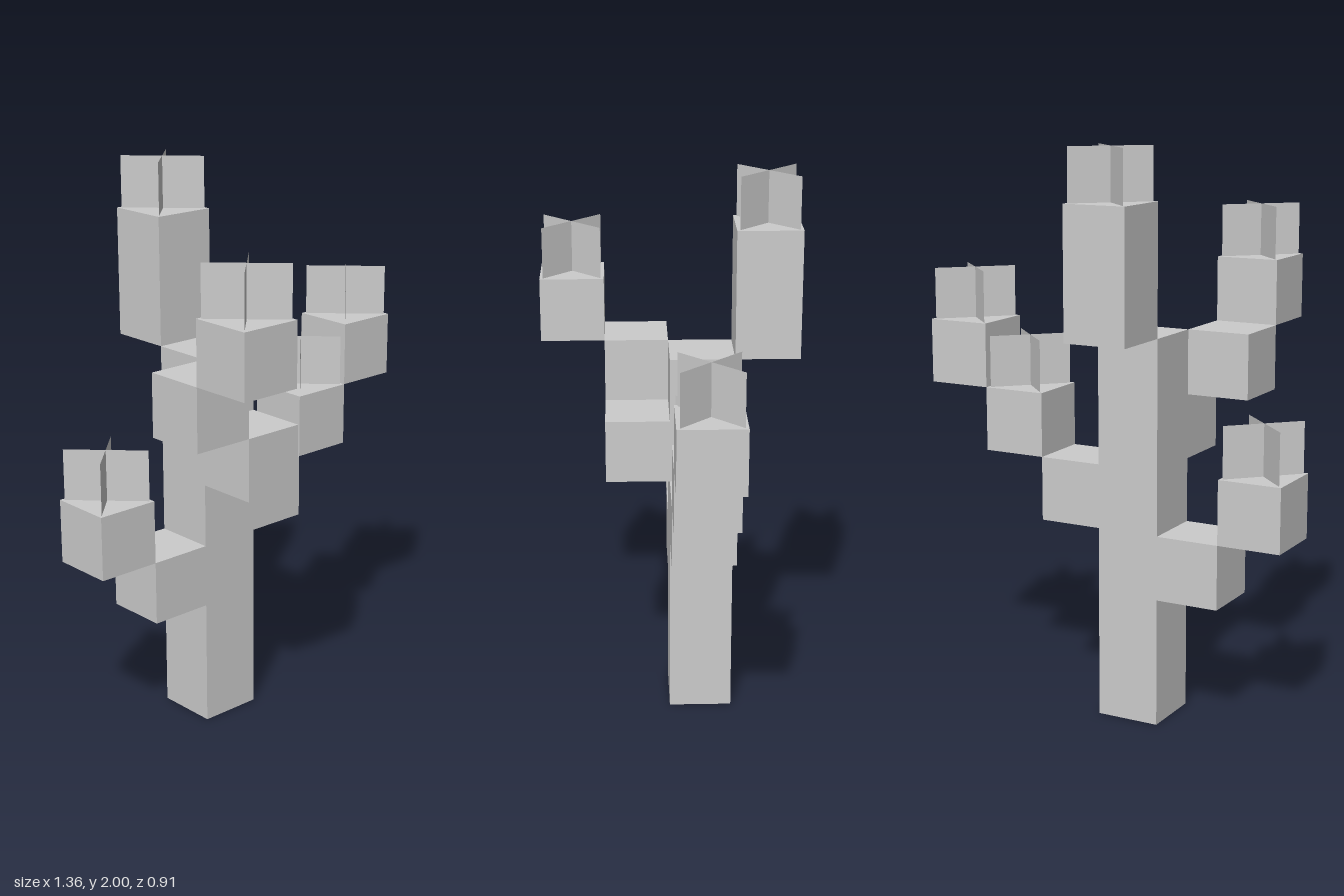
import * as THREE from 'three';

// Edge of one grid cell; the whole plant is 8.8 cells tall
const U = 2 / 8.8;

export function createModel() {
  const plant = new THREE.Group();
  plant.name = 'branchingPlant';

  // Double-sided: the trunk is hollow underneath and the blossoms are thin sheets
  const grey = new THREE.MeshStandardMaterial({ color: 0xcccccc, side: THREE.DoubleSide });
  grey.name = 'paleGrey';

  // Square column standing on grid cell (i, j, k), tall cells high
  function column(name, parent, i, j, k, tall = 1) {
    const geometry = new THREE.BoxGeometry(U, U * tall, U);
    geometry.translate((i + 0.5) * U, (j + tall / 2) * U, (k + 0.5) * U);
    const mesh = new THREE.Mesh(geometry, grey);
    mesh.name = name;
    parent.add(mesh);
    return mesh;
  }

  // Two upright sheets crossed on the diagonals of a cell
  function blossom(parent, i, j, k) {
    const group = new THREE.Group();
    group.name = 'blossom';
    for (const angle of [Math.PI / 4, -Math.PI / 4]) {
      const sheet = new THREE.Mesh(
        new THREE.PlaneGeometry(0.9 * Math.SQRT2 * U, 0.8 * U), grey);
      sheet.name = 'blossomSheet';
      sheet.rotation.y = angle;
      group.add(sheet);
    }
    group.position.set((i + 0.5) * U, (j + 0.4) * U, (k + 0.5) * U);
    parent.add(group);
  }

  // Trunk, open at the bottom
  const trunk = column('trunk', plant, -1, 0, -1, 6).geometry;
  const bottom = trunk.groups[3];
  trunk.setIndex(Array.from(trunk.index.array).filter(
    (_, n) => n < bottom.start || n >= bottom.start + bottom.count));
  trunk.clearGroups();

  // Stepped branches: cells [i, j, k, tall], each ending in a blossom
  const branches = {
    rightBranch: [[-2, 2, -1], [-3, 3, -1]],
    leftBranch: [[0, 3, -1], [1, 4, -1], [2, 5, -1]],
    frontBranch: [[-1, 4, 0], [-2, 5, 0], [-2, 6, 1]],
    backBranch: [[-1, 6, -2, 2]],
  };
  for (const [name, cells] of Object.entries(branches)) {
    const branch = new THREE.Group();
    branch.name = name;
    cells.forEach((cell) => column('branchSegment', branch, ...cell));
    const [i, j, k, tall = 1] = cells[cells.length - 1];
    blossom(branch, i, j + tall, k);
    plant.add(branch);
  }
  // Extra blossom on the middle step of the left branch
  blossom(plant.getObjectByName('leftBranch'), 1, 5, -1);

  return plant;
}
